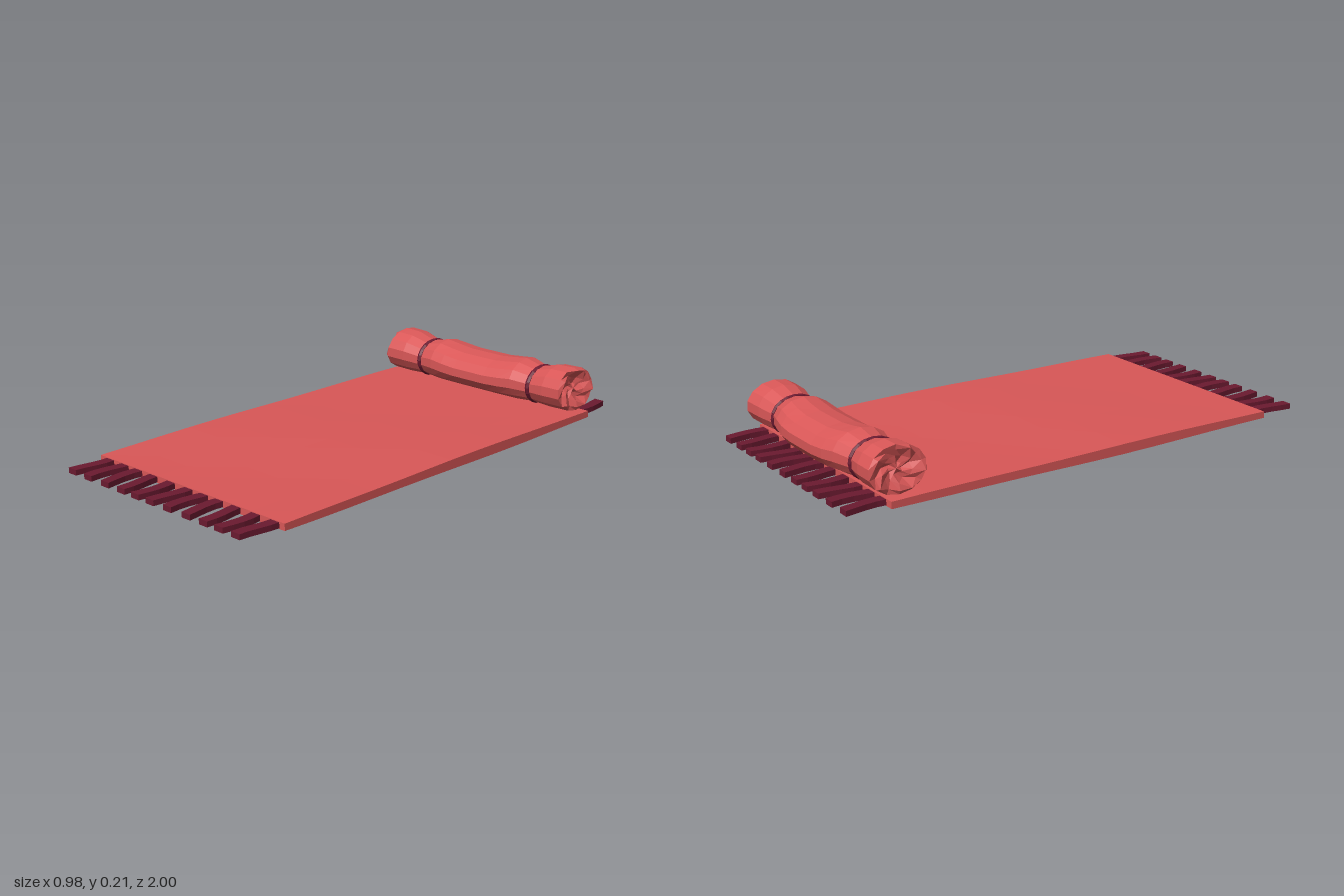
import * as THREE from 'three';

const red = new THREE.MeshStandardMaterial({ color: 0xd95757, flatShading: true });
const maroon = new THREE.MeshStandardMaterial({ color: 0x6b1a30, flatShading: true });

function part(name, geometry, material) {
  const mesh = new THREE.Mesh(geometry, material);
  mesh.name = name;
  return mesh;
}

// Move every vertex by a rule
function warp(geometry, rule) {
  const pos = geometry.attributes.position;
  const v = new THREE.Vector3();
  for (let i = 0; i < pos.count; i++) {
    rule(v.fromBufferAttribute(pos, i));
    pos.setXYZ(i, v.x, v.y, v.z);
  }
  geometry.computeVertexNormals();
  return geometry;
}

// Thin cloth slab with gentle ripples that fade out at the two short ends
function matGeometry() {
  return warp(new THREE.BoxGeometry(0.98, 0.026, 1.68, 6, 1, 12), (v) => {
    const fade = 1 - Math.pow(Math.abs(v.z) / 0.84, 2);
    const side = Math.sign(v.y);
    v.y += 0.022 + fade * (side * 0.005 + 0.0025 * Math.sin(v.z * 5 + v.x * 3 + side));
  });
}

// Flat strand bent slightly sideways along its length
function tasselGeometry(phase) {
  return warp(new THREE.BoxGeometry(0.042, 0.021, 0.17, 1, 1, 4), (v) => {
    const t = v.z / 0.17 + 0.5;
    v.x += 0.009 * Math.sin(t * 3.4 + phase) - 0.003;
    v.y += 0.022;
  });
}

// Pillow cross-sections for one half: x, bottom, top, z centre, z radius
const sections = [
  [0.08, 0.040, 0.193, -0.797, 0.128],
  [0.15, 0.040, 0.201, -0.796, 0.125],
  [0.21, 0.040, 0.210, -0.793, 0.116],
  [0.289, 0.045, 0.192, -0.790, 0.092],
  [0.37, 0.041, 0.214, -0.792, 0.110],
  [0.455, 0.043, 0.216, -0.793, 0.114],
];
// Crumpled end: x, scale of the last section, depth of the folds
const endRings = [[0.462, 0.84, 0.012], [0.447, 0.52, 0.012], [0.437, 0.24, 0.007], [0.445, 0, 0]];

function pillowGeometry() {
  const sides = 14;
  const half = sections.map((s) => [...s, 1, 0]);
  const rim = sections[sections.length - 1];
  endRings.forEach(([x, scale, fold]) => half.push([x, ...rim.slice(1), scale, fold]));
  const rings = [...half.map((s) => [-s[0], ...s.slice(1)]).reverse(), ...half];

  const points = [];
  const index = [];
  rings.forEach(([x, bottom, top, cz, rz, scale, fold], i) => {
    for (let j = 0; j < sides; j++) {
      const a = (j / sides) * Math.PI * 2;
      const crease = Math.sin(j * 2.4 + i * 1.7);
      const s = scale * (1 + (fold ? 0.08 * crease : 0));
      const lean = Math.abs(x) > 0.43 ? -0.008 * Math.cos(a) * scale : 0;
      points.push(
        x + Math.sign(x) * (fold * crease + lean),
        (bottom + top) / 2 + ((top - bottom) / 2) * s * Math.cos(a),
        cz + rz * s * Math.sin(a)
      );
      if (i < rings.length - 1) {
        const k = (j + 1) % sides;
        const p = i * sides + j, q = i * sides + k;
        index.push(p, q, p + sides, q, q + sides, p + sides);
      }
    }
  });
  const geometry = new THREE.BufferGeometry();
  geometry.setAttribute('position', new THREE.Float32BufferAttribute(points, 3));
  geometry.setIndex(index);
  geometry.computeVertexNormals();
  return geometry;
}

export function createModel() {
  const model = new THREE.Group();
  model.name = 'sleepingMat';
  model.add(part('mat', matGeometry(), red));

  // Fringe along both short ends
  for (const end of [1, -1]) {
    const fringe = new THREE.Group();
    fringe.name = end > 0 ? 'frontFringe' : 'backFringe';
    for (let i = 0; i < 11; i++) {
      const tassel = part('tassel', tasselGeometry(i * 1.3 + end), maroon);
      tassel.position.set((i - 5) * 0.0875, 0, end * 0.915);
      fringe.add(tassel);
    }
    model.add(fringe);
  }

  // Rolled pillow and the cords tied around it
  model.add(part('pillow', pillowGeometry(), red));
  for (const side of [1, -1]) {
    const cord = part(side > 0 ? 'leftCord' : 'rightCord', new THREE.TorusGeometry(0.09, 0.011, 6, 20), maroon);
    cord.rotation.y = Math.PI / 2;
    cord.scale.set(1, 0.79, 1);
    cord.position.set(side * 0.289, 0.119, -0.79);
    model.add(cord);
  }
  return model;
}
